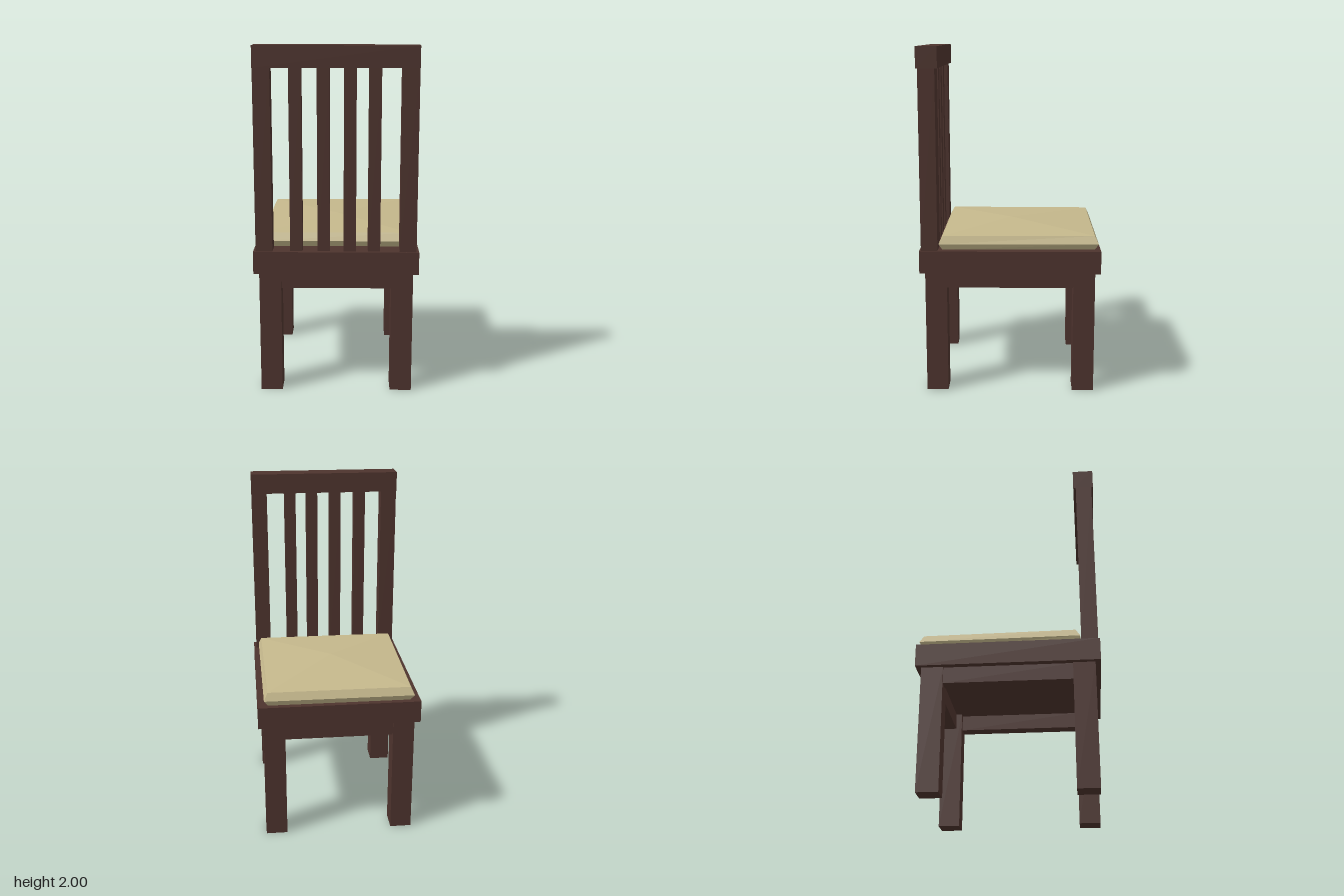
import * as THREE from 'three';

export function createModel() {
  const chair = new THREE.Group();
  chair.name = 'chair';
  const wood = new THREE.MeshStandardMaterial({ color: 0x4e342e });
  wood.name = 'dark wood';
  const fabric = new THREE.MeshStandardMaterial({ color: 0xc5b88c, flatShading: true });
  fabric.name = 'beige fabric';

  // Box given by its lower and upper limits on each axis
  const block = (name, [x0, x1], [y0, y1], [z0, z1]) => {
    const mesh = new THREE.Mesh(new THREE.BoxGeometry(x1 - x0, y1 - y0, z1 - z0), wood);
    mesh.position.set((x0 + x1) / 2, (y0 + y1) / 2, (z0 + z1) / 2);
    mesh.name = name;
    chair.add(mesh);
  };
  const span = (a, b, s) => (s > 0 ? [a, b] : [-b, -a]);

  // Seat frame
  block('seatFrame', [-0.47, 0.47], [0.72, 0.85], [-0.52, 0.52]);

  // Legs, aprons between them, and back posts
  for (const s of [-1, 1]) {
    for (const t of [-1, 1]) block('leg', span(0.315, 0.44, s), [0, 0.72], span(0.365, 0.49, t));
    block('crossApron', [-0.315, 0.315], [0.625, 0.72], span(0.4, 0.48, s));
    block('sideApron', span(0.35, 0.43, s), [0.625, 0.72], [-0.365, 0.365]);
    block('backPost', span(0.36, 0.455, s), [0.85, 1.88], [0.415, 0.51]);
  }

  // Backrest slats and top rail
  for (const x of [-0.225, -0.07, 0.078, 0.215])
    block('backSlat', [x - 0.035, x + 0.035], [0.85, 1.88], [0.428, 0.497]);
  block('topRail', [-0.455, 0.455], [1.88, 2], [0.4, 0.52]);

  // Cushion: bevelled rings, narrower at the open end, rising to a low peak
  const ring = (y, wBack, wFront, zBack, zFront) => [
    [-wBack, y, zBack], [wBack, y, zBack], [wFront, y, zFront], [-wFront, y, zFront],
  ];
  const rings = [
    ring(0.85, 0.425, 0.41, 0.39, -0.487),
    ring(0.885, 0.44, 0.433, 0.41, -0.508),
    ring(0.93, 0.423, 0.412, 0.385, -0.487),
  ];
  const peak = [0, 0.955, 0];
  const points = [];
  for (let i = 0; i < 4; i++) {
    const j = (i + 1) % 4;
    for (let r = 0; r < 2; r++) {
      const [a, b, c, d] = [rings[r][i], rings[r][j], rings[r + 1][j], rings[r + 1][i]];
      points.push(a, b, c, a, c, d);
    }
    points.push(rings[2][i], rings[2][j], peak);
  }
  const [a, b, c, d] = rings[0];
  points.push(a, c, b, a, d, c);
  const geometry = new THREE.BufferGeometry();
  geometry.setAttribute('position', new THREE.Float32BufferAttribute(points.flat(), 3));
  geometry.computeVertexNormals();
  const cushion = new THREE.Mesh(geometry, fabric);
  cushion.name = 'cushion';
  chair.add(cushion);

  return chair;
}
